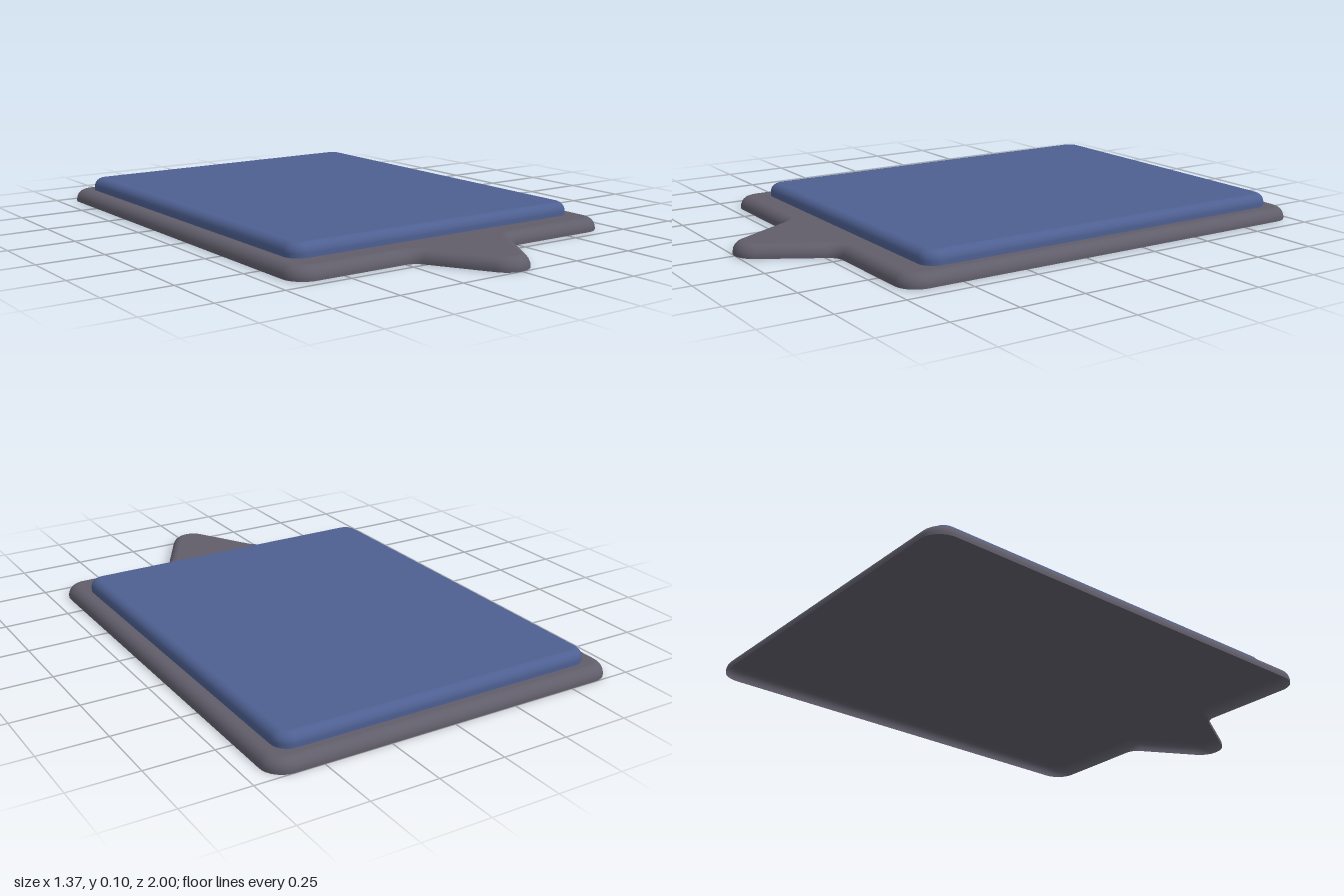
import * as THREE from 'three';

// Filleted outline of a counter-clockwise polygon; corners are [x, -z, radius]
function outline(corners, steps = 8) {
  const pts = corners.map(([x, y]) => new THREE.Vector2(x, y));
  const out = [];
  corners.forEach(([, , r], i) => {
    const p = pts[i];
    const d0 = p.clone().sub(pts[(i + pts.length - 1) % pts.length]).normalize();
    const d1 = pts[(i + 1) % pts.length].clone().sub(p).normalize();
    const turn = Math.atan2(d0.cross(d1), d0.dot(d1));
    const s = Math.sign(turn);
    const n0 = new THREE.Vector2(d0.y, -d0.x);
    const centre = p.clone()
      .addScaledVector(d0, -r * Math.tan(Math.abs(turn) / 2))
      .addScaledVector(n0, -r * s);
    for (let k = 0; k <= steps; k++) {
      const n = n0.clone().rotateAround(new THREE.Vector2(), (turn * k) / steps);
      out.push({ p: centre.clone().addScaledVector(n, r * s), n });
    }
  });
  return out;
}

// Thin shell, open underneath, with a flat top and a rounded upper rim
function shell(corners, y0, y1, round) {
  const ring = outline(corners), count = ring.length;
  const pos = [], nor = [], idx = [];
  const addRing = (inset, y, side, up) => {
    for (const { p, n } of ring) {
      pos.push(p.x - n.x * inset, y, -(p.y - n.y * inset));
      nor.push(n.x * side, up, -n.y * side);
    }
  };

  // Wall and rim
  const steps = 6;
  addRing(0, y0, 1, 0);
  for (let k = 0; k <= steps; k++) {
    const a = (k / steps) * Math.PI / 2, c = Math.cos(a), s = Math.sin(a);
    addRing(round * (1 - c), y1 - round * (1 - s), c, s);
  }
  for (let j = 0; j <= steps; j++) {
    for (let i = 0; i < count; i++) {
      const a = j * count + i, b = j * count + (i + 1) % count;
      idx.push(a, b, b + count, a, b + count, a + count);
    }
  }

  // Flat top
  const top = (steps + 2) * count;
  addRing(round, y1, 0, 1);
  for (const tri of THREE.ShapeUtils.triangulateShape(ring.map(({ p }) => p), [])) {
    idx.push(...tri.map((i) => top + i));
  }

  const geo = new THREE.BufferGeometry();
  geo.setAttribute('position', new THREE.Float32BufferAttribute(pos, 3));
  geo.setAttribute('normal', new THREE.Float32BufferAttribute(nor, 3));
  geo.setIndex(idx);
  return geo;
}

export function createModel() {
  const side = THREE.DoubleSide;
  const grey = new THREE.MeshStandardMaterial({ name: 'slate grey', color: 0x615e6b, side });
  const blue = new THREE.MeshStandardMaterial({ name: 'muted blue', color: 0x4e6092, side });
  const model = new THREE.Group();
  model.name = 'pointerPanel';

  // Hollow base plate with the pointed tab at the front
  const base = new THREE.Mesh(shell([
    [-0.687, -0.712, 0.08], [-0.217, -0.712, 0.06], [0, -1.085, 0.085], [0.217, -0.712, 0.06],
    [0.687, -0.712, 0.08], [0.687, 1, 0.08], [-0.687, 1, 0.08],
  ], 0, 0.047, 0.04), grey);
  base.name = 'basePlate';

  // Raised panel standing on the base
  const panel = new THREE.Mesh(shell([
    [-0.625, -0.602, 0.06], [0.625, -0.602, 0.06], [0.625, 0.94, 0.06], [-0.625, 0.94, 0.06],
  ], 0.047, 0.096, 0.035), blue);
  panel.name = 'raisedPanel';

  model.add(base, panel);
  return model;
}
